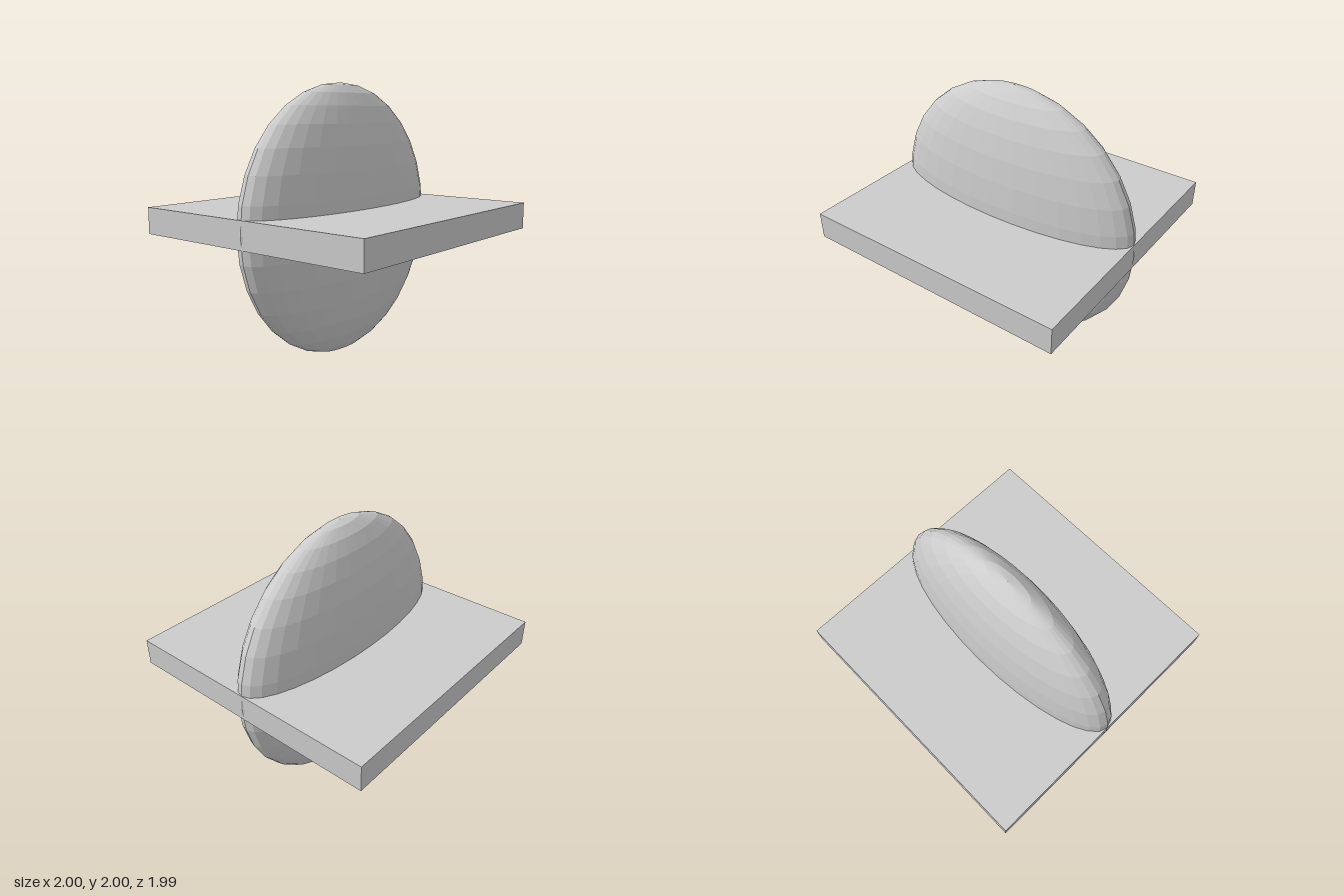
import * as THREE from 'three';

export function createModel() {
  const model = new THREE.Group();
  const material = new THREE.MeshStandardMaterial({ color: 0xcccccc, flatShading: true });

  // Upright faceted ball, flattened front to back
  const disc = new THREE.Mesh(new THREE.SphereGeometry(1, 32, 16), material);
  disc.name = 'flattenedBall';
  disc.scale.z = 0.295;
  disc.position.y = 1;
  model.add(disc);

  // Square slab through the middle of the ball
  const slab = new THREE.Mesh(new THREE.BoxGeometry(1.985, 0.197, 1.985), material);
  slab.name = 'slab';
  slab.position.y = 1.005;
  model.add(slab);

  return model;
}
